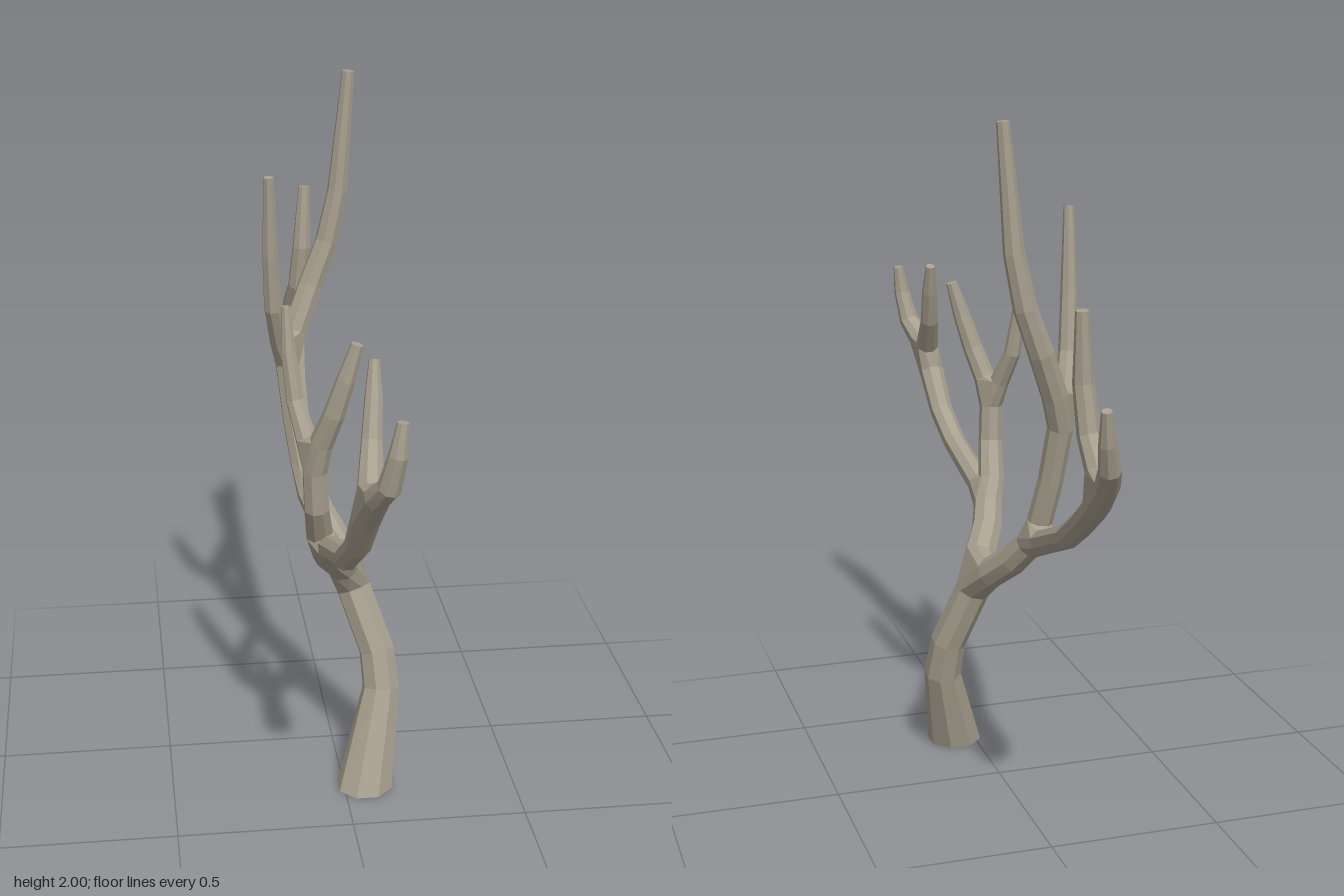
import * as THREE from 'three';
import { ConvexGeometry } from 'three/addons/geometries/ConvexGeometry.js';

const SIDES = 8;
const bark = new THREE.MeshStandardMaterial({ color: 0xa8a08f, flatShading: true });

// Ring of points around p (x, y, z, radius), square to direction t
function ring([x, y, z, r], t) {
  const u = new THREE.Vector3(1, 0, 0).addScaledVector(t, -t.x).normalize();
  const v = t.clone().cross(u);
  return Array.from({ length: SIDES }, (_, i) => {
    const a = ((i + 0.5) / SIDES) * Math.PI * 2;
    return new THREE.Vector3(x, y, z)
      .addScaledVector(u, r * Math.cos(a))
      .addScaledVector(v, r * Math.sin(a));
  });
}

// Rings along a path; inner rings are mitred between their two segments
function ringsAlong(path) {
  const pts = path.map(([x, y, z]) => new THREE.Vector3(x, y, z));
  const dir = (i) => pts[i + 1].clone().sub(pts[i]).normalize();
  return path.map((p, i) => {
    const t = new THREE.Vector3();
    if (i > 0) t.add(dir(i - 1));
    if (i < path.length - 1) t.add(dir(i));
    return ring(p, t.normalize());
  });
}

// Skin the rings into a faceted limb with closed ends
function limbGeometry(rings) {
  const positions = rings.flat().flatMap((p) => p.toArray());
  const index = [];
  for (let k = 0; k < rings.length - 1; k++) {
    for (let i = 0; i < SIDES; i++) {
      const j = (i + 1) % SIDES, a = k * SIDES, b = a + SIDES;
      index.push(a + i, a + j, b + j, a + i, b + j, b + i);
    }
  }
  const top = (rings.length - 1) * SIDES;
  for (let i = 1; i < SIDES - 1; i++) {
    index.push(0, i + 1, i, top, top + i, top + i + 1);
  }
  const g = new THREE.BufferGeometry();
  g.setAttribute('position', new THREE.Float32BufferAttribute(positions, 3));
  g.setIndex(index);
  g.computeVertexNormals();
  return g;
}

// Each limb: centre points with radius
const limbs = {
  trunk: [[0.06, 0, 0.29, 0.083], [0.122, 0.27, 0.195, 0.056], [0.112, 0.38, 0.165, 0.053], [0.05, 0.56, 0.11, 0.052]],

  frontBranch: [[0.012, 0.655, 0.155, 0.048], [-0.03, 0.715, 0.225, 0.046], [-0.05, 0.765, 0.28, 0.044]],
  frontLowerBranch: [[-0.05, 0.81, 0.37, 0.037], [-0.035, 0.885, 0.6, 0.035], [-0.02, 0.965, 0.7, 0.036], [-0.012, 1.075, 0.785, 0.039]],
  frontOuterTine: [[0.003, 1.17, 0.875, 0.036], [0.025, 1.22, 0.93, 0.031], [0.042, 1.31, 0.952, 0.025], [0.054, 1.395, 0.95, 0.015]],
  frontInnerTine: [[0, 1.165, 0.79, 0.036], [0.012, 1.26, 0.715, 0.028], [0.022, 1.36, 0.675, 0.024], [0.028, 1.45, 0.64, 0.014]],
  frontUpperBranch: [[-0.075, 0.835, 0.325, 0.04], [-0.09, 0.94, 0.385, 0.036], [-0.095, 1.05, 0.395, 0.035]],
  frontUpperOuterTine: [[-0.08, 1.14, 0.415, 0.033], [-0.05, 1.23, 0.442, 0.03], [-0.02, 1.33, 0.455, 0.026], [0.01, 1.43, 0.46, 0.017]],
  frontUpperInnerTine: [[-0.115, 1.135, 0.365, 0.03], [-0.14, 1.23, 0.318, 0.025], [-0.155, 1.36, 0.298, 0.021], [-0.16, 1.485, 0.283, 0.013]],

  rearBranch: [[0.022, 0.645, 0.01, 0.046], [-0.02, 0.71, -0.075, 0.045], [-0.05, 0.77, -0.13, 0.043]],
  rearLowerBranch: [[-0.055, 0.81, -0.235, 0.037], [-0.052, 0.9, -0.46, 0.035], [-0.05, 0.975, -0.58, 0.036], [-0.04, 1.065, -0.715, 0.038]],
  rearOuterTine: [[-0.025, 1.155, -0.83, 0.033], [-0.005, 1.215, -0.9, 0.03], [0.012, 1.29, -0.928, 0.024], [0.025, 1.38, -0.952, 0.014]],
  rearInnerTine: [[-0.035, 1.17, -0.735, 0.036], [-0.025, 1.25, -0.69, 0.032], [-0.015, 1.38, -0.673, 0.029], [-0.005, 1.57, -0.685, 0.018]],
  rearUpperBranch: [[-0.07, 0.85, -0.165, 0.037], [-0.09, 0.98, -0.2, 0.036], [-0.105, 1.14, -0.235, 0.037]],
  rearTallTine: [[-0.08, 1.24, -0.26, 0.038], [-0.03, 1.37, -0.29, 0.037], [0.02, 1.5, -0.302, 0.034], [0.052, 1.65, -0.303, 0.03], [0.083, 2, -0.302, 0.018]],
  rearShortTine: [[-0.13, 1.23, -0.205, 0.033], [-0.153, 1.34, -0.158, 0.028], [-0.162, 1.5, -0.135, 0.024], [-0.167, 1.74, -0.113, 0.015]],
};

// Parent limb, then the two limbs that grow from its end
const forks = [
  ['trunk', 'frontBranch', 'rearBranch'],
  ['frontBranch', 'frontLowerBranch', 'frontUpperBranch'],
  ['frontLowerBranch', 'frontOuterTine', 'frontInnerTine'],
  ['frontUpperBranch', 'frontUpperOuterTine', 'frontUpperInnerTine'],
  ['rearBranch', 'rearLowerBranch', 'rearUpperBranch'],
  ['rearLowerBranch', 'rearOuterTine', 'rearInnerTine'],
  ['rearUpperBranch', 'rearTallTine', 'rearShortTine'],
];

export function createModel() {
  const group = new THREE.Group();
  group.name = 'bareBranchedTree';
  const add = (name, geometry) => {
    const mesh = new THREE.Mesh(geometry, bark);
    mesh.name = name;
    group.add(mesh);
  };

  // Trunk, branches and tines
  const rings = {};
  for (const [name, path] of Object.entries(limbs)) {
    rings[name] = ringsAlong(path);
    // Keep the foot of the trunk flat on the ground
    if (name === 'trunk') rings[name][0] = ring(path[0], new THREE.Vector3(0, 1, 0));
    add(name, limbGeometry(rings[name]));
  }

  // Webbed crotch at every fork
  for (const [parent, ...children] of forks) {
    const points = [...rings[parent].at(-1), ...children.flatMap((c) => rings[c][0])];
    add(parent + 'Fork', new ConvexGeometry(points));
  }
  return group;
}
